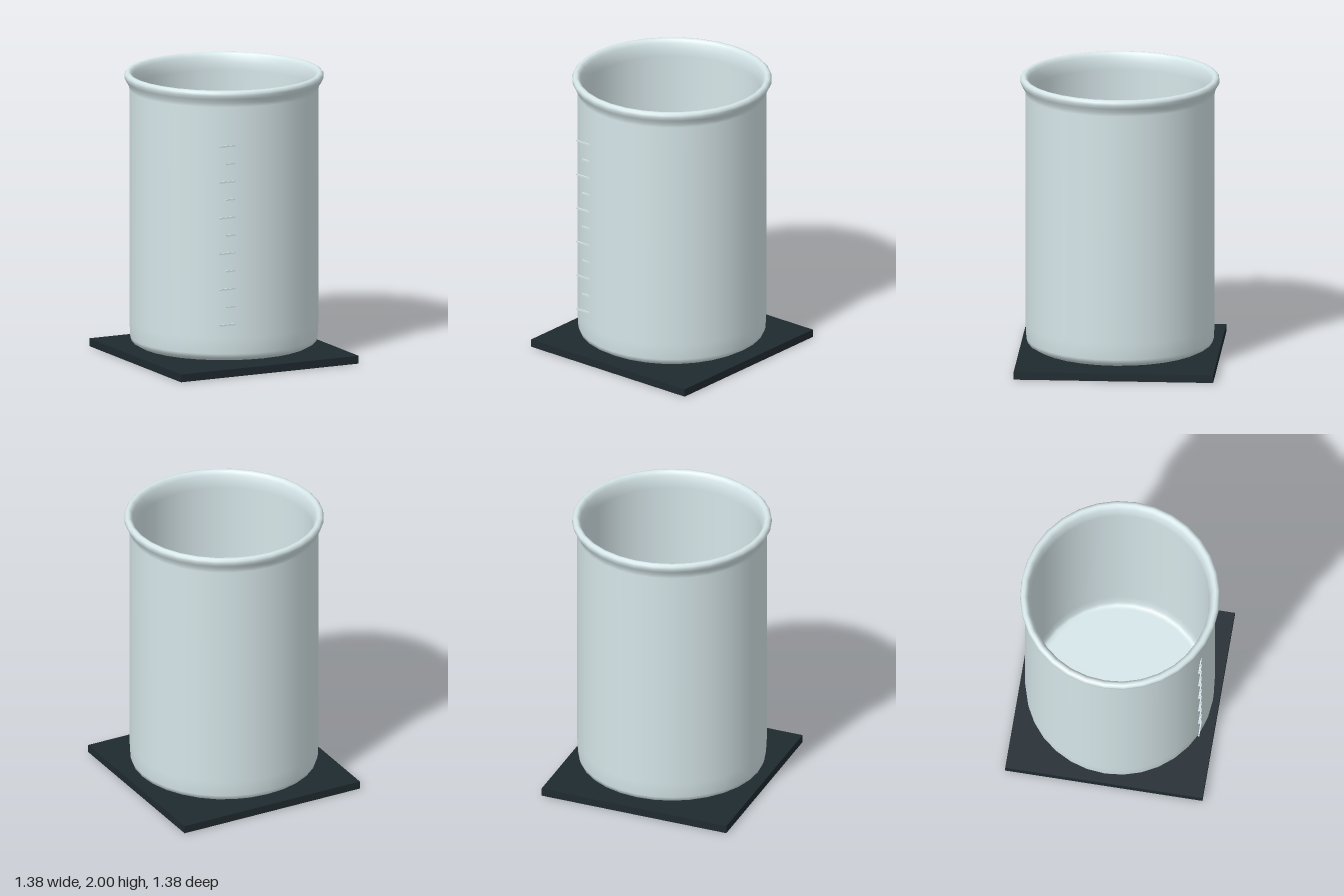
import * as THREE from 'three';

function addMesh(group, name, geometry, color, x = 0, y = 0, z = 0) {
  const mesh = new THREE.Mesh(geometry, new THREE.MeshStandardMaterial({ color }));
  mesh.name = name;
  mesh.position.set(x, y, z);
  group.add(mesh);
  return mesh;
}

export function createModel() {
  const model = new THREE.Group();
  model.name = 'beakerOnPlate';
  const glass = 0xd6e6e9;

  // Square dark plate under the vessel
  addMesh(model, 'basePlate', new THREE.BoxGeometry(1.38, 0.055, 1.38), 0x1f2a30, 0, 0.0275, 0);

  // Vessel: underside, outer wall, flared rolled rim, inner wall and floor
  const profile = [
    [0, 0.075], [0.53, 0.075], [0.6, 0.087], [0.64, 0.11], [0.649, 0.14],
    [0.655, 0.25], [0.655, 1.88], [0.66, 1.91], [0.678, 1.94], [0.69, 1.965],
    [0.688, 1.985], [0.676, 1.997], [0.66, 2.0], [0.645, 1.992], [0.633, 1.97],
    [0.622, 1.93], [0.618, 1.88], [0.618, 0.25], [0.612, 0.16], [0.595, 0.135],
    [0.57, 0.13], [0, 0.13],
  ].map(([r, y]) => new THREE.Vector2(r, y));
  addMesh(model, 'beaker', new THREE.LatheGeometry(profile, 32), glass);

  // Graduation marks: thin bars emerging from the wall, long and short in turn
  const marks = new THREE.Group();
  marks.name = 'graduationMarks';
  for (let i = 0; i < 11; i++) {
    const left = i % 2 === 0 ? -0.35 : -0.3;
    const right = -0.21;
    addMesh(marks, 'mark', new THREE.BoxGeometry(right - left, 0.011, 0.008), glass,
      (left + right) / 2, 0.35 + i * 0.126, 0.608);
  }
  model.add(marks);

  return model;
}
